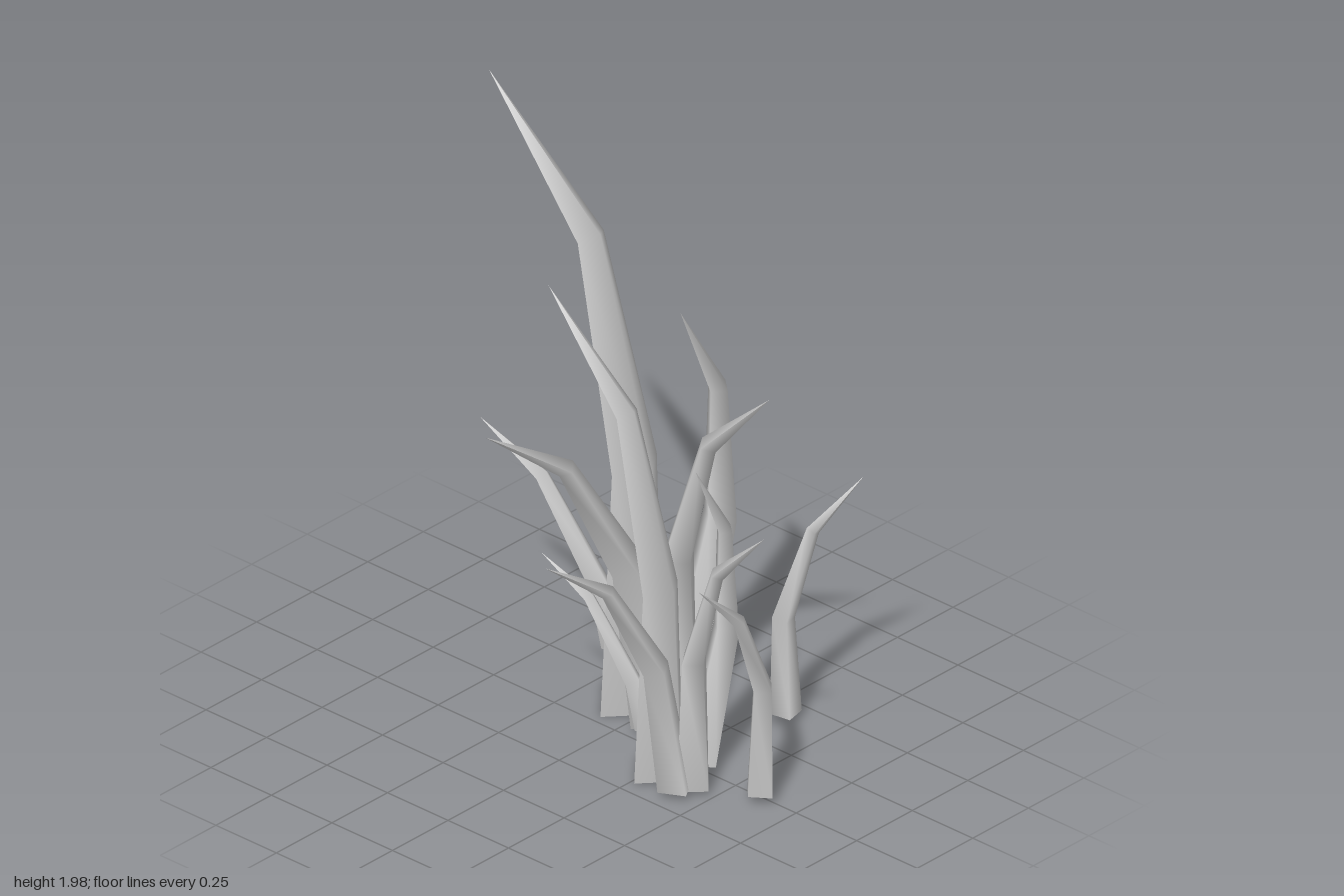
import * as THREE from 'three';

const material = new THREE.MeshStandardMaterial({ color: 0xcccccc, side: THREE.DoubleSide });
const UP = new THREE.Vector3(0, 1, 0);

// A four-sided blade swept along a bent path: each ring is [x, y, z, half width, half depth]
function blade(name, rings) {
  const pts = rings.map((r) => new THREE.Vector3(r[0], r[1], r[2]));
  const last = pts.length - 1;
  const lean = pts[last].clone().sub(pts[0]).setY(0).normalize();
  const side = new THREE.Vector3().crossVectors(UP, lean);
  const pos = [];
  const index = [];

  rings.forEach(([, , , w, d], i) => {
    // Flat foot, then rings that halve the angle of each bend
    const t = UP.clone();
    if (i > 0) {
      t.copy(pts[i]).sub(pts[i - 1]).normalize();
      if (i < last) t.add(pts[i + 1].clone().sub(pts[i]).normalize());
      t.normalize();
    }
    const depth = new THREE.Vector3().crossVectors(t, side).normalize();
    for (let j = 0; j < 4; j++) {
      const a = (j * Math.PI) / 2;
      const p = pts[i].clone().addScaledVector(side, Math.cos(a) * w).addScaledVector(depth, Math.sin(a) * d);
      pos.push(p.x, p.y, p.z);
      if (i === last) continue;
      const k = (j + 1) % 4;
      index.push(i * 4 + j, i * 4 + k, i * 4 + 4 + j);
      if (i < last - 1) index.push(i * 4 + k, i * 4 + 4 + k, i * 4 + 4 + j);
    }
  });

  // Foot cap on its own corners so that its edge stays sharp
  const c = pos.length / 3;
  pos.push(...pos.slice(0, 12));
  index.push(c, c + 2, c + 1, c, c + 3, c + 2);

  const geo = new THREE.BufferGeometry();
  geo.setAttribute('position', new THREE.Float32BufferAttribute(pos, 3));
  geo.setIndex(index);
  geo.computeVertexNormals();
  const mesh = new THREE.Mesh(geo, material);
  mesh.name = name;
  return mesh;
}

// Five blades spreading from one root
function clump(name) {
  const g = new THREE.Group();
  g.name = name;
  g.add(
    blade('tallBlade', [
      [0.17, 0.02, -0.085, 0.14, 0.125],
      [0.17, 0.85, -0.075, 0.1, 0.075],
      [0.17, 1.58, -0.255, 0.058, 0.046],
      [0.175, 2, -0.68, 0, 0],
    ]),
    blade('rightBlade', [
      [0.09, 0.04, 0.075, 0.085, 0.08],
      [0.04, 0.58, 0.02, 0.065, 0.06],
      [-0.18, 1.0, -0.035, 0.035, 0.032],
      [-0.49, 1.22, -0.085, 0, 0],
    ]),
    blade('frontBlade', [
      [0.17, 0.03, 0.1, 0.09, 0.085],
      [0.17, 0.6, 0.105, 0.07, 0.052],
      [0.168, 1.04, 0.235, 0.037, 0.032],
      [0.165, 1.3, 0.49, 0, 0],
    ]),
    blade('leftBlade', [
      [0.31, 0.045, 0, 0.095, 0.07],
      [0.475, 0.58, 0, 0.068, 0.053],
      [0.465, 1.03, 0, 0.04, 0.034],
      [0.295, 1.36, 0, 0, 0],
    ]),
    blade('backBlade', [
      [0.17, 0.19, -0.165, 0.05, 0.042],
      [0.17, 0.375, -0.22, 0.044, 0.035],
      [0.17, 0.665, -0.455, 0.028, 0.026],
      [0.172, 0.77, -0.715, 0, 0],
    ]),
  );
  return g;
}

export function createModel() {
  const model = new THREE.Group();
  model.name = 'grass';

  // Large clump and its smaller copy in front
  const large = clump('largeClump');
  const small = clump('smallClump');
  small.scale.setScalar(0.77);
  small.position.set(-0.231, 0.01, 0.338);

  // Two loose blades
  model.add(
    large,
    small,
    blade('looseLeftBlade', [
      [0.402, 0.045, 0.338, 0.053, 0.05],
      [0.395, 0.38, 0.335, 0.042, 0.036],
      [0.472, 0.67, 0.385, 0.023, 0.022],
      [0.605, 0.84, 0.475, 0, 0],
    ]),
    blade('looseFrontBlade', [
      [-0.01, 0.045, 0.61, 0.057, 0.05],
      [0.005, 0.4, 0.607, 0.042, 0.036],
      [-0.09, 0.67, 0.597, 0.023, 0.022],
      [-0.26, 0.84, 0.585, 0, 0],
    ]),
  );
  return model;
}
